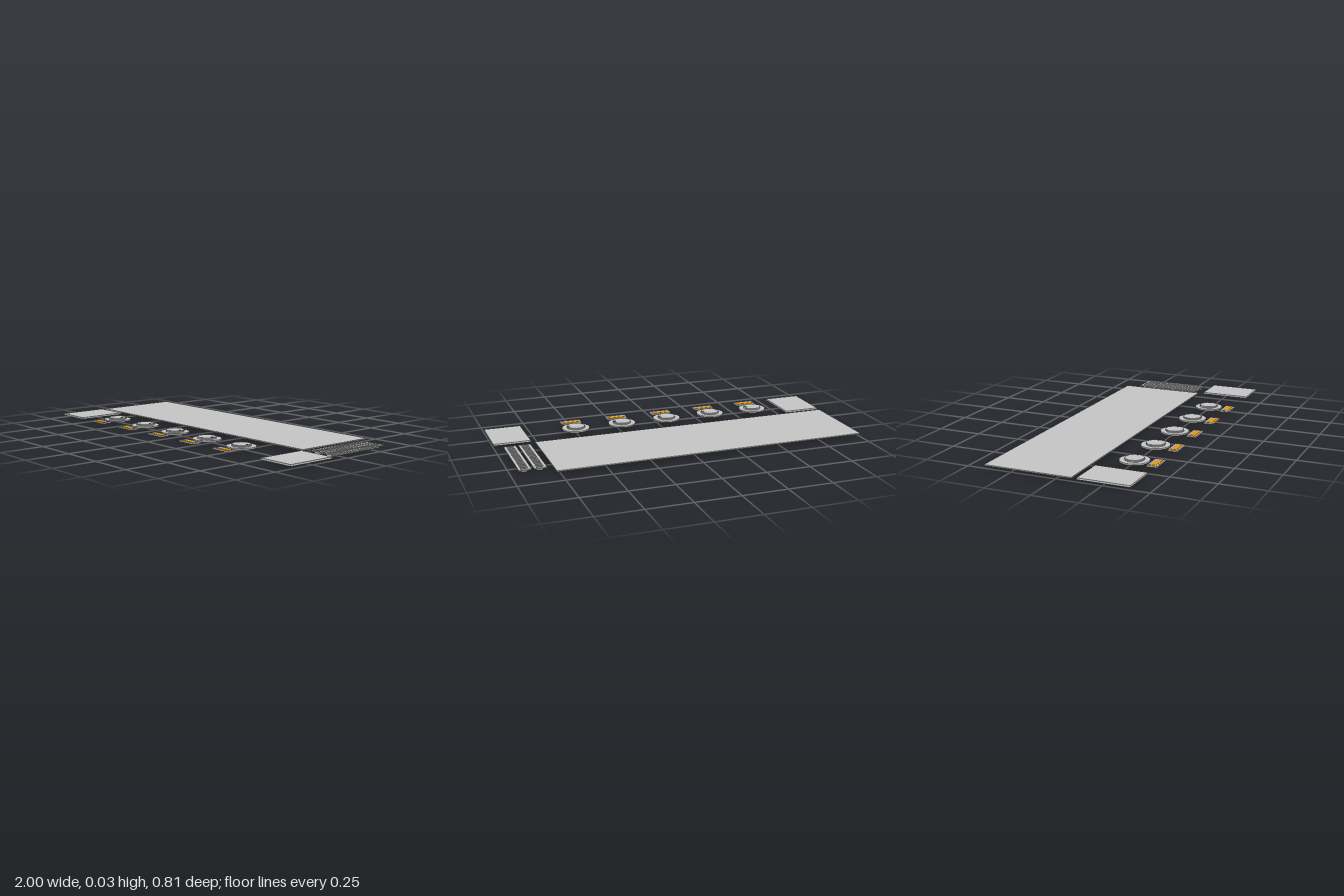
import * as THREE from 'three';

export function createModel() {
  const model = new THREE.Group();
  const mat = (name, color, side = THREE.FrontSide) => {
    const m = new THREE.MeshStandardMaterial({ color, side });
    m.name = name;
    return m;
  };
  const grey = mat('panelGrey', 0xc4c4c4, THREE.DoubleSide);
  const amber = mat('displayAmber', 0xdc9a28);
  const dark = mat('markerDark', 0x5a4a28);

  const add = (parent, name, geometry, material, x = 0, y = 0, z = 0) => {
    const mesh = new THREE.Mesh(geometry, material);
    mesh.name = name;
    mesh.position.set(x, y, z);
    parent.add(mesh);
    return mesh;
  };
  // box given by its limits on each axis
  const slab = (parent, name, material, x0, x1, y0, y1, z0, z1) =>
    add(parent, name, new THREE.BoxGeometry(x1 - x0, y1 - y0, z1 - z0), material,
      (x0 + x1) / 2, (y0 + y1) / 2, (z0 + z1) / 2);

  // main panel and corner blocks
  slab(model, 'mainPanel', grey, -1, 0.772, 0.014, 0.02, -0.405, 0.086);
  slab(model, 'rightCornerBlock', grey, -1, -0.79, 0.012, 0.022, 0.114, 0.398);
  slab(model, 'leftCornerBlock', grey, 0.79, 1, 0.012, 0.022, 0.114, 0.398);

  // knurled outline for the dial grip
  const grip = new THREE.Shape();
  const teeth = 28;
  for (let i = 0; i < teeth * 4; i++) {
    const a = (i / (teeth * 4)) * Math.PI * 2;
    const r = i % 4 < 2 ? 0.052 : 0.0495;
    const p = [Math.cos(a) * r, Math.sin(a) * r];
    if (i === 0) grip.moveTo(...p);
    else grip.lineTo(...p);
  }
  grip.closePath();
  const gripGeo = new THREE.ExtrudeGeometry(grip, { depth: 0.011, bevelEnabled: false });
  gripGeo.rotateX(-Math.PI / 2);
  const baseGeo = new THREE.CylinderGeometry(0.08, 0.08, 0.008, 48);

  // five dials, each with a small display in front
  for (let i = 0; i < 5; i++) {
    const unit = new THREE.Group();
    unit.name = 'dialUnit';
    unit.position.x = -0.625 + i * 0.2793;
    model.add(unit);
    add(unit, 'dialBase', baseGeo, grey, 0, 0.017, 0.256);
    add(unit, 'dialGrip', gripGeo, grey, 0, 0.0205, 0.256);
    slab(unit, 'dialMarker', dark, 0.038, 0.051, 0.031, 0.034, 0.2535, 0.2585);
    slab(unit, 'displayFrame', grey, -0.06, 0.06, 0.012, 0.02, 0.347, 0.403);
    slab(unit, 'displayScreen', amber, -0.05, 0.05, 0.019, 0.0215, 0.355, 0.393);
  }

  // slotted strips with tapered cups hanging under every slot
  const slots = 17, pitch = 0.022, zFirst = 0.0455;
  const halfW = 0.019, halfD = 0.0065;
  const corner = Math.SQRT2;
  let cupGeo = new THREE.LatheGeometry([
    new THREE.Vector2(0, 0),
    new THREE.Vector2(0.75 * corner, 0),
    new THREE.Vector2(0.95 * corner, 0.007),
    new THREE.Vector2(corner, 0.02),
  ], 4, Math.PI / 4);
  cupGeo.scale(halfW, 1, halfD);
  cupGeo = cupGeo.toNonIndexed();
  cupGeo.computeVertexNormals();

  const strip = new THREE.Shape();
  const outline = (path, x0, x1, z0, z1) => {
    path.moveTo(x0, -z0);
    path.lineTo(x0, -z1);
    path.lineTo(x1, -z1);
    path.lineTo(x1, -z0);
    path.closePath();
  };
  outline(strip, -0.034, 0.034, -0.33, 0.06);
  for (let i = 0; i < slots; i++) {
    const z = zFirst - i * pitch;
    const hole = new THREE.Path();
    outline(hole, -halfW, halfW, z - halfD, z + halfD);
    strip.holes.push(hole);
  }
  const stripGeo = new THREE.ExtrudeGeometry(strip, { depth: 0.006, bevelEnabled: false });
  stripGeo.rotateX(-Math.PI / 2);

  for (const x of [0.839, 0.921]) {
    const group = new THREE.Group();
    group.name = 'slottedStrip';
    group.position.x = x;
    model.add(group);
    add(group, 'stripPlate', stripGeo, grey, 0, 0.014, 0);
    for (let i = 0; i < slots; i++) {
      add(group, 'slotCup', cupGeo, grey, 0, 0, zFirst - i * pitch);
    }
  }
  return model;
}
